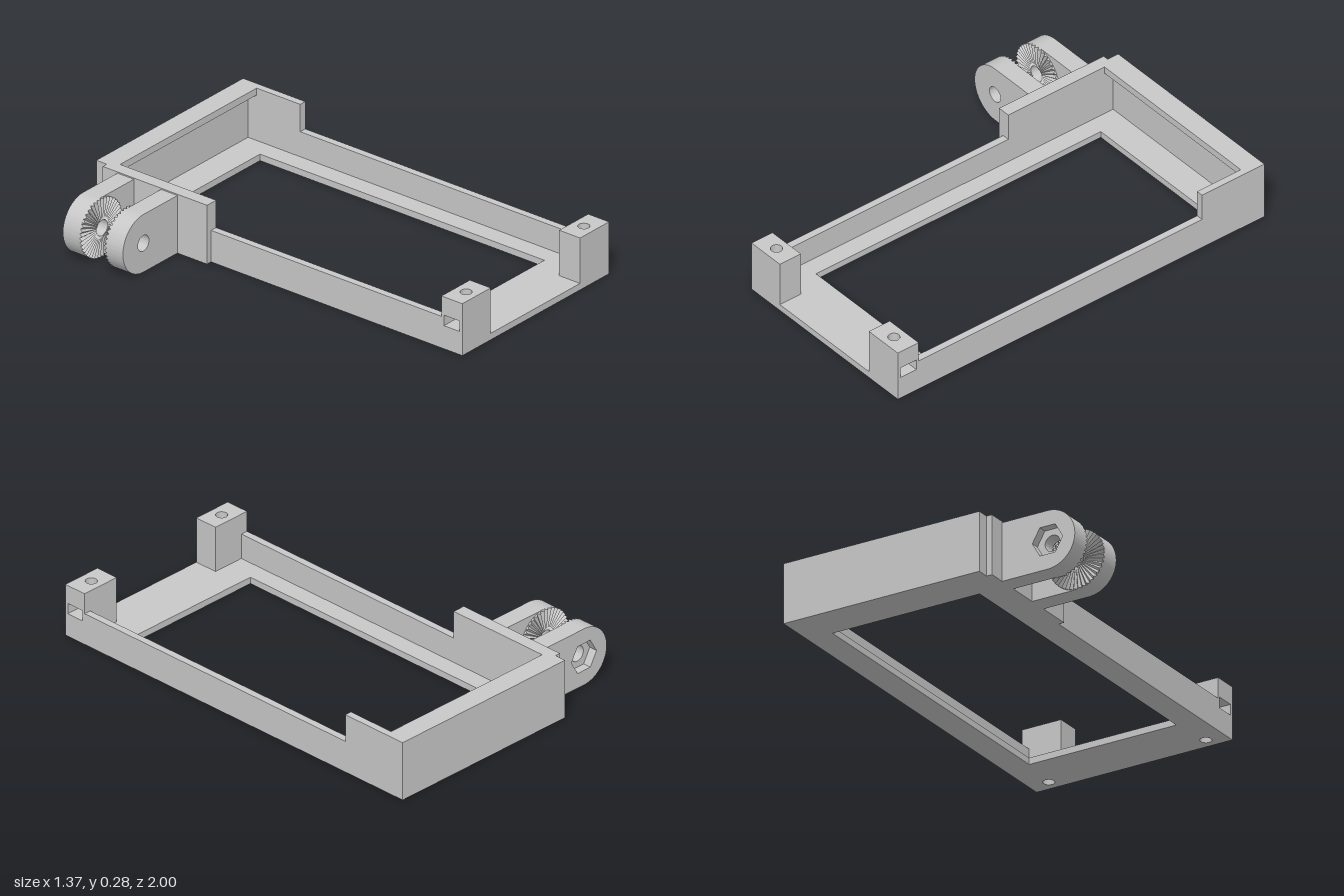
import * as THREE from 'three';
import { toCreasedNormals } from 'three/addons/utils/BufferGeometryUtils.js';

const grey = new THREE.MeshStandardMaterial({ color: 0xc8c8c8 });
grey.name = 'plain grey';

const L = -0.295, R = 0.686;       // outer sides of the tray
const T = 0.034, FLOOR = 0.031;    // wall and floor thickness
const TOP = 0.28, LOW = 0.15;      // tall and low wall heights
const POST = 0.886;                // inner face of the screw posts
const EYE = { x: -0.549, y: 0.137, r: 0.137, hole: 0.037 };

export function createModel() {
  const model = new THREE.Group();
  model.name = 'hingedTray';

  const add = (name, geometry) => {
    const mesh = new THREE.Mesh(geometry, grey);
    mesh.name = name;
    model.add(mesh);
    return mesh;
  };
  const block = (name, x0, x1, y0, y1, z0, z1) => {
    const mesh = add(name, new THREE.BoxGeometry(x1 - x0, y1 - y0, z1 - z0));
    mesh.position.set((x0 + x1) / 2, (y0 + y1) / 2, (z0 + z1) / 2);
  };
  const extrude = (shape, depth) => toCreasedNormals(
    new THREE.ExtrudeGeometry(shape, { depth, bevelEnabled: false, curveSegments: 32 }), 0.5);
  const polygon = (points) => points.map(([x, y]) => new THREE.Vector2(x, y));
  const circle = (x, y, r) => new THREE.Path().absarc(x, y, r, 0, Math.PI * 2, true);

  // Plan-view slab: points are [x, z], raised from y0 to y1
  const slab = (name, points, holes, y0, y1) => {
    const flip = (list) => polygon(list.map(([x, z]) => [x, -z]));
    const shape = new THREE.Shape(flip(points));
    for (const h of holes) {
      shape.holes.push(Array.isArray(h) ? new THREE.Path(flip(h)) : circle(h.x, -h.z, h.r));
    }
    const geometry = extrude(shape, y1 - y0);
    geometry.rotateX(-Math.PI / 2);
    geometry.translate(0, y0, 0);
    add(name, geometry);
  };
  // Counter-clockwise seen from above, so that holes wind the opposite way
  const rect = (x0, x1, z0, z1) => [[x0, z0], [x0, z1], [x1, z1], [x1, z0]];

  // Floor frame with a large window and two screw holes
  const screws = [
    { x: -0.199, z: 0.942, r: 0.026 },
    { x: 0.588, z: 0.942, r: 0.026 },
  ];
  slab('floorFrame', rect(L, R, -1, 1), [rect(-0.174, 0.563, -0.807, 0.747), ...screws], 0, FLOOR);

  // Side walls: low towards the front, tall at the back
  block('lowWallRightSide', L, L + T, FLOOR, LOW, -0.373, POST);
  block('tallWallRightSide', L, L + T, FLOOR, TOP, -1, -0.373);
  block('lowWallLeftSide', R - T, R, FLOOR, LOW, -0.66, POST);
  block('tallWallLeftSide', R - T, R, FLOOR, TOP, -1, -0.66);

  // Back wall and its overhanging lip
  block('backWall', L + T, R - T, FLOOR, TOP, -1, -0.945);
  block('backLip', L + T, R - T, 0.247, TOP, -0.945, -0.898);

  // Screw posts with a nut slot open to the outer side
  screws.forEach((s, i) => {
    const side = i ? 1 : -1;
    const outer = i ? R : L;
    const inner = i ? 0.492 : -0.105;
    const body = rect(Math.min(inner, outer), Math.max(inner, outer), POST, 1);
    const slotEnd = s.x - side * 0.043;
    slab('postBase', body, [s], FLOOR, 0.11);
    slab('postNutSlot', [
      [outer, POST], [inner, POST], [inner, 1], [outer, 1],
      [outer, s.z + 0.043], [s.x - side * 0.012, s.z + 0.043], [slotEnd, s.z + 0.027],
      [slotEnd, s.z - 0.027], [s.x - side * 0.012, s.z - 0.043], [outer, s.z - 0.043],
    ], [], 0.11, 0.16);
    slab('postTop', body, [s], 0.16, 0.247);
  });

  // Hinge pad on the tall side wall
  block('hingePad', -0.322, L, 0, TOP, -0.943, -0.373);

  // Rounded hinge arms
  const arm = (name, hole, z0, z1) => {
    const shape = new THREE.Shape();
    shape.moveTo(-0.322, 0);
    shape.lineTo(-0.322, EYE.r * 2);
    shape.lineTo(EYE.x, EYE.r * 2);
    shape.absarc(EYE.x, EYE.y, EYE.r, Math.PI / 2, Math.PI * 1.5, false);
    shape.holes.push(hole);
    const geometry = extrude(shape, z1 - z0);
    geometry.translate(0, 0, z0);
    add(name, geometry);
  };
  const hex = [];
  for (let i = 0; i < 6; i++) {
    const a = -i * Math.PI / 3;
    hex.push([EYE.x + 0.076 * Math.cos(a), EYE.y + 0.076 * Math.sin(a)]);
  }
  const bore = () => circle(EYE.x, EYE.y, EYE.hole);
  arm('backArmNutRecess', new THREE.Path(polygon(hex)), -0.863, -0.823);
  arm('backArm', bore(), -0.823, -0.773);
  arm('frontArm', bore(), -0.625, -0.535);

  // Radial locking teeth on the facing sides of the arms
  const backTeeth = add('backArmTeeth', teethGeometry());
  backTeeth.position.set(EYE.x, EYE.y, -0.773);
  const frontTeeth = add('frontArmTeeth', teethGeometry());
  frontTeeth.position.set(EYE.x, EYE.y, -0.625);
  frontTeeth.rotation.y = Math.PI;

  return model;
}

// Ring of wedge teeth facing +z; valleys deepen towards the rim
function teethGeometry(count = 40, height = 0.014) {
  const positions = [];
  const inner = EYE.hole, outer = EYE.r;
  const point = (r, step, z) => {
    const a = step * Math.PI / count;
    return [r * Math.cos(a), r * Math.sin(a), z];
  };
  const quad = (a, b, c, d) => positions.push(...a, ...b, ...c, ...a, ...c, ...d);
  const level = (r, step) => (step % 2 ? height : height * (1 - r / outer));
  for (let i = 0; i < count * 2; i++) {
    const j = i + 1;
    const a = point(inner, i, level(inner, i)), b = point(outer, i, level(outer, i));
    const c = point(outer, j, level(outer, j)), d = point(inner, j, level(inner, j));
    quad(a, b, c, d);
    quad(point(outer, i, 0), point(outer, j, 0), c, b);
    quad(point(inner, j, 0), point(inner, i, 0), a, d);
  }
  const geometry = new THREE.BufferGeometry();
  geometry.setAttribute('position', new THREE.Float32BufferAttribute(positions, 3));
  geometry.computeVertexNormals();
  return geometry;
}
